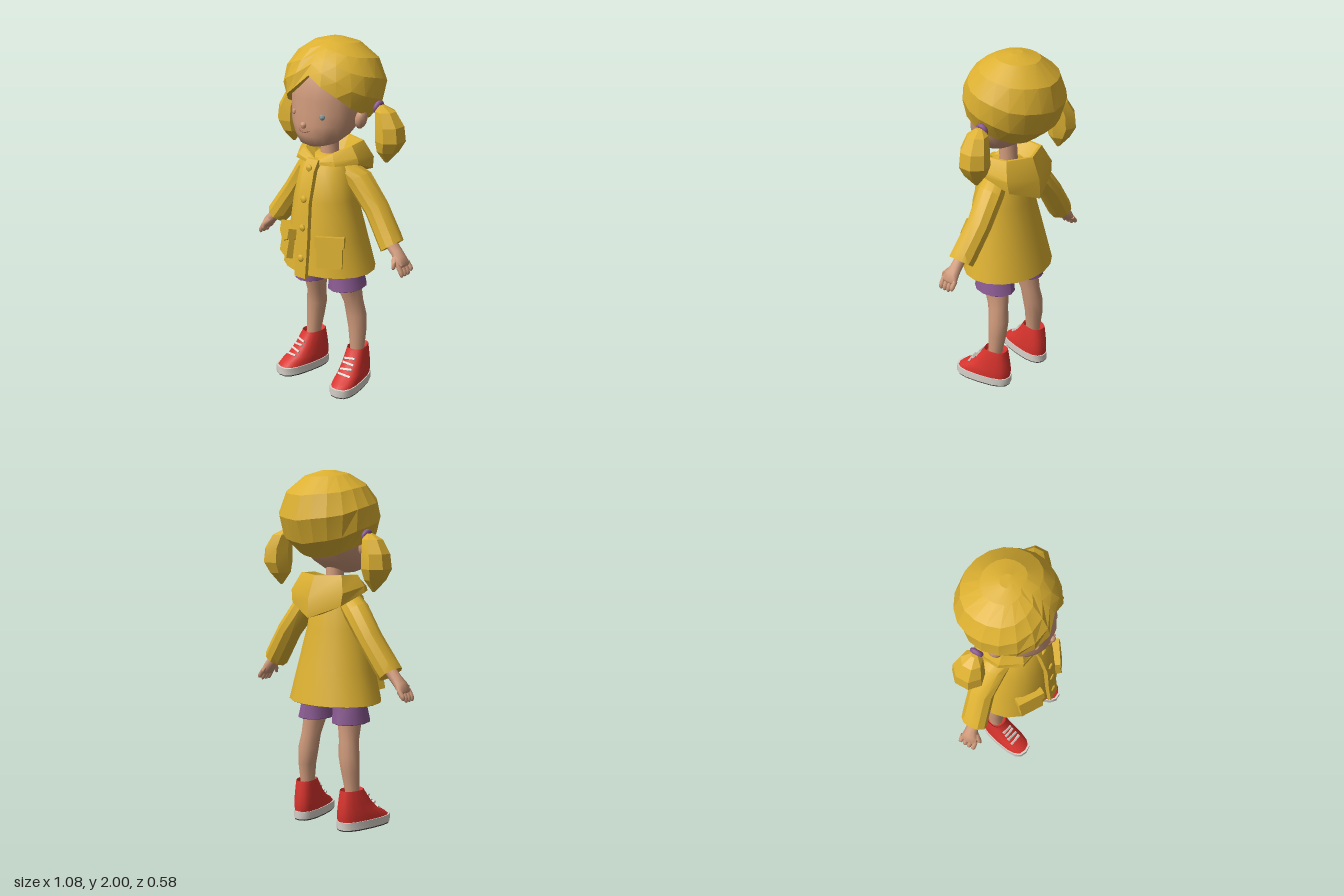
import * as THREE from 'three';
import { toCreasedNormals } from 'three/addons/utils/BufferGeometryUtils.js';

const material = (name, color) => Object.assign(new THREE.MeshStandardMaterial({ color }), { name });

// Piecewise linear lookup in a table of [key, value]
function lookup(table, k) {
  let i = 1;
  while (i < table.length - 1 && k > table[i][0]) i++;
  const [a, b] = [table[i - 1], table[i]];
  return THREE.MathUtils.mapLinear(k, a[0], b[0], a[1], b[1]);
}

// Closed skin over rings of points, capped at both ends and facing outward
function loft(rings) {
  const n = rings[0].length, pts = rings.flat(), index = [];
  const centre = (r) => r.reduce((s, p) => s.map((v, i) => v + p[i] / n), [0, 0, 0]);
  const last = (rings.length - 1) * n, c0 = pts.length, c1 = c0 + 1;
  pts.push(centre(rings[0]), centre(rings[rings.length - 1]));
  for (let j = 0; j < n; j++) {
    const k = (j + 1) % n;
    for (let i = 0; i < last; i += n) index.push(i + j, i + n + j, i + k, i + k, i + n + j, i + n + k);
    index.push(c0, j, k, c1, last + k, last + j);
  }
  const v = pts.map((p) => new THREE.Vector3(...p));
  let volume = 0;
  for (let i = 0; i < index.length; i += 3) {
    volume += v[index[i]].dot(v[index[i + 1]].clone().cross(v[index[i + 2]]));
  }
  if (volume < 0) index.reverse();
  const geo = new THREE.BufferGeometry().setFromPoints(v);
  geo.setIndex(index);
  return geo;
}

// Rounded limb: rows of [x, y, z, radius across, radius in z], cut square to dir
function limb(rows, sides = 10, dir = [0, 1]) {
  const len = Math.hypot(...dir), ux = -dir[1] / len, uy = dir[0] / len;
  return loft(rows.map(([x, y, z, r, rz = r]) => Array.from({ length: sides }, (_, i) => {
    const a = (i / sides) * Math.PI * 2, c = Math.cos(a) * r;
    return [x + ux * c, y + uy * c, z + Math.sin(a) * rz];
  })));
}

// Shoe layers: rows of [y, heel z, toe z, half width], turned outward at the ankle
function shoe(rows) {
  const sq = (v) => Math.sign(v) * Math.abs(v) ** 0.75;
  return loft(rows.map(([y, z0, z1, w]) => Array.from({ length: 16 }, (_, i) => {
    const a = (i / 16) * Math.PI * 2;
    return [sq(Math.cos(a)) * w * (1 + 0.1 * Math.sin(a)), y, (z0 + z1) / 2 + sq(Math.sin(a)) * (z1 - z0) / 2];
  }))).rotateY(0.2).translate(0.17, 0, -0.02);
}

function mirrored(geo) {
  const g = geo.index ? geo.toNonIndexed() : geo.clone();
  const p = g.attributes.position, a = new THREE.Vector3(), b = new THREE.Vector3();
  g.scale(-1, 1, 1);
  for (let i = 0; i < p.count; i += 3) {
    a.fromBufferAttribute(p, i + 1);
    b.fromBufferAttribute(p, i + 2);
    p.setXYZ(i + 1, b.x, b.y, b.z);
    p.setXYZ(i + 2, a.x, a.y, a.z);
  }
  return g;
}

export function createModel() {
  const model = new THREE.Group();
  model.name = 'girlInRaincoat';
  const yellow = material('yellow', 0xdcb031), skin = material('skin', 0xcf9a7b);
  const purple = material('purple', 0x8a5a92), red = material('red', 0xd8332d);
  const white = material('offWhite', 0xd8d2ca), dark = material('darkSole', 0x4b4b4b);
  const grey = material('eyeGrey', 0x8b9a9c), lip = material('lip', 0xb87c64);

  const add = (name, geo, mat, crease = 0.7) => {
    const mesh = new THREE.Mesh(toCreasedNormals(geo, crease), mat);
    mesh.name = name;
    model.add(mesh);
  };
  const pair = (name, geo, mat, crease) => {
    add(name + 'Left', geo, mat, crease);
    add(name + 'Right', mirrored(geo), mat, crease);
  };

  // Head, neck and face
  add('head', limb([
    [0, 1.432, 0.12, 0.05, 0.06], [0, 1.45, 0.11, 0.105, 0.105], [0, 1.5, 0.08, 0.158, 0.15],
    [0, 1.56, 0.05, 0.19, 0.188], [0, 1.62, 0.035, 0.203, 0.192], [0, 1.7, 0.02, 0.21, 0.212],
    [0, 1.78, 0.0, 0.21, 0.215], [0, 1.86, -0.01, 0.18, 0.2], [0, 1.94, -0.02, 0.1, 0.11]], 20), skin, 1.2);
  add('neck', limb([[0, 1.3, 0.025, 0.06], [0, 1.38, 0.025, 0.052], [0, 1.48, 0.03, 0.05]], 12), skin);
  add('nose', new THREE.SphereGeometry(0.018, 10, 8).translate(0, 1.56, 0.238), skin, 2);
  const smile = new THREE.QuadraticBezierCurve3(new THREE.Vector3(-0.038, 1.535, 0.231),
    new THREE.Vector3(0, 1.512, 0.244), new THREE.Vector3(0.038, 1.535, 0.231));
  add('mouth', new THREE.TubeGeometry(smile, 10, 0.005, 6), lip, 2);
  const eye = new THREE.SphereGeometry(0.016, 10, 8).scale(1, 1, 0.5).rotateY(0.45).translate(0.1, 1.612, 0.203);
  add('eyeLeft', eye, grey, 2);
  add('eyeRight', mirrored(eye), skin, 2);
  pair('ear', new THREE.SphereGeometry(0.055, 10, 8).scale(0.55, 1, 0.7).rotateZ(-0.2).translate(0.215, 1.588, 0.02), skin, 1.2);

  // Hair cap with an uneven hairline and a parting at the front
  const hairline = [[-180, 1.52], [-130, 1.54], [-100, 1.59], [-70, 1.62], [-50, 1.66], [-30, 1.72], [-15, 1.76],
    [0, 1.83], [15, 1.79], [35, 1.73], [55, 1.66], [75, 1.62], [100, 1.59], [130, 1.54], [180, 1.52]];
  const hairRing = (t, shrink = 1) => Array.from({ length: 20 }, (_, i) => {
    const deg = i * 18 - 180, a = THREE.MathUtils.degToRad(deg);
    const turn = a + 0.1 * Math.max(0, Math.cos(a));
    const polar = t * Math.acos((lookup(hairline, deg) - 1.75) / 0.25);
    const r = Math.sin(polar) * shrink, y = 1.75 + 0.25 * Math.cos(polar);
    const part = deg === 0 && t > 0.1 ? 0.95 : 1;
    return [0.285 * r * part * Math.sin(turn), y, -0.02 + 0.275 * r * part * Math.cos(turn)];
  });
  add('hair', loft([...[0.06, 0.2, 0.4, 0.6, 0.8, 1].map((t) => hairRing(t)), hairRing(1, 0.8)]), yellow, 0.25);

  // Pigtails and ties
  pair('pigtail', limb([[0.3, 1.665, -0.045, 0.02], [0.325, 1.635, -0.05, 0.055, 0.06], [0.352, 1.56, -0.055, 0.075, 0.085],
    [0.358, 1.48, -0.055, 0.08, 0.09], [0.345, 1.42, -0.05, 0.058, 0.065], [0.335, 1.355, -0.05, 0.008]], 7), yellow, 0.25);
  pair('hairTie', new THREE.TorusGeometry(0.024, 0.014, 8, 14).rotateY(Math.PI / 2).rotateZ(-0.3)
    .translate(0.282, 1.652, -0.045), purple, 2);

  // Raincoat body, hollow at the hem
  add('coat', limb([[0, 0.75, 0.03, 0.25, 0.2], [0, 0.71, 0.03, 0.272, 0.222], [0, 0.715, 0.03, 0.281, 0.231],
    [0, 0.9, 0.04, 0.236, 0.2], [0, 1.13, 0.06, 0.185, 0.165], [0, 1.3, 0.05, 0.155, 0.13],
    [0, 1.35, 0.04, 0.12, 0.1], [0, 1.37, 0.03, 0.06, 0.06]], 18), yellow, 0.6);

  // Button placket and buttons
  const front = [[0.7, 0.282], [0.9, 0.262], [1.13, 0.246], [1.3, 0.203], [1.355, 0.168]];
  const strip = new THREE.Shape([...front.map(([y, z]) => new THREE.Vector2(z, y)),
    ...front.slice().reverse().map(([y, z]) => new THREE.Vector2(z - 0.05, y))]);
  add('placket', new THREE.ExtrudeGeometry(strip, { depth: 0.08, bevelEnabled: false })
    .rotateY(-Math.PI / 2).translate(0.04, 0, 0), yellow, 0.4);
  for (const y of [1.31, 1.145, 0.985, 0.81]) {
    add('button', new THREE.SphereGeometry(0.021, 12, 8).scale(1, 1, 0.5).translate(0, y, lookup(front, y)), yellow, 2);
  }

  // Pockets with pointed flaps
  const place = new THREE.Matrix4().makeRotationFromEuler(new THREE.Euler(-0.17, 0.56, 0, 'YXZ')).setPosition(0.152, 0.85, 0.2);
  const flap = new THREE.Shape([[-0.08, 0.1], [-0.08, 0.04], [0, 0.005], [0.08, 0.04], [0.08, 0.1]]
    .map((p) => new THREE.Vector2(...p)));
  pair('pocket', new THREE.BoxGeometry(0.14, 0.14, 0.05).translate(0, -0.005, 0).applyMatrix4(place), yellow);
  pair('pocketFlap', new THREE.ExtrudeGeometry(flap, { depth: 0.055, bevelEnabled: false })
    .translate(0, 0, -0.015).applyMatrix4(place), yellow);

  // Folded hood: half outlines from front to back, mirrored into rings
  const hood = [
    [[0, 1.335, 0.1], [0.06, 1.36, 0.07], [0.09, 1.365, 0.02], [0.08, 1.35, -0.05], [0, 1.34, -0.08]],
    [[0, 1.35, 0.145], [0.095, 1.395, 0.115], [0.145, 1.43, 0.03], [0.13, 1.435, -0.08], [0, 1.43, -0.135]],
    [[0, 1.345, 0.155], [0.105, 1.395, 0.125], [0.16, 1.43, 0.03], [0.145, 1.435, -0.09], [0, 1.43, -0.15]],
    [[0, 1.335, 0.17], [0.13, 1.36, 0.145], [0.205, 1.37, 0.035], [0.185, 1.34, -0.13], [0, 1.31, -0.2]],
    [[0, 1.325, 0.17], [0.14, 1.335, 0.145], [0.21, 1.335, 0.03], [0.175, 1.27, -0.135], [0, 1.2, -0.205]],
    [[0, 1.32, 0.12], [0.1, 1.32, 0.1], [0.14, 1.32, 0.02], [0.12, 1.27, -0.06], [0, 1.21, -0.08]]];
  add('hood', loft(hood.map((h) => [...h, ...h.slice(1, 4).reverse().map(([x, y, z]) => [-x, y, z])])), yellow, 0.5);

  // Sleeves and hands
  const down = [0.29, -0.38];
  pair('sleeve', limb([[0.09, 1.31, 0.02, 0.05, 0.07], [0.18, 1.24, -0.01, 0.07, 0.08], [0.295, 1.09, -0.025, 0.066, 0.074],
    [0.395, 0.945, -0.01, 0.068, 0.076], [0.42, 0.91, -0.005, 0.066, 0.076], [0.414, 0.918, -0.005, 0.045, 0.05]], 10, down), yellow, 0.6);
  pair('hand', limb([[0.41, 0.93, 0, 0.034], [0.455, 0.885, 0, 0.031, 0.035], [0.482, 0.855, 0.005, 0.03, 0.045],
    [0.507, 0.82, 0.005, 0.023, 0.052], [0.512, 0.812, 0.005, 0.012, 0.04]], 10, down), skin, 0.9);
  for (let i = 0; i < 4; i++) {
    const z = -0.036 + i * 0.027, tip = i === 0 ? 0.014 : 0;
    pair('finger', limb([[0.5, 0.83, z, 0.014], [0.522, 0.795 + tip / 2, z, 0.014], [0.53, 0.777 + tip, z, 0.011],
      [0.532, 0.77 + tip, z, 0.004]], 7, down), skin, 1);
  }
  pair('thumb', limb([[0.465, 0.87, 0.03, 0.017], [0.482, 0.84, 0.058, 0.016], [0.487, 0.815, 0.064, 0.012],
    [0.488, 0.808, 0.064, 0.004]], 7, down), skin, 1);

  // Shorts and legs
  add('shortsTop', limb([[0, 0.69, 0.02, 0.15, 0.09], [0, 0.82, 0.03, 0.17, 0.12]], 14), purple);
  pair('shortsLeg', limb([[0.13, 0.62, 0.02, 0.08, 0.1], [0.126, 0.6, 0.02, 0.092, 0.118], [0.125, 0.605, 0.02, 0.1, 0.126],
    [0.115, 0.7, 0.02, 0.092, 0.108], [0.1, 0.8, 0.02, 0.09, 0.1]], 12), purple, 0.6);
  pair('leg', limb([[0.125, 0.68, 0.01, 0.068, 0.08], [0.13, 0.58, 0, 0.06, 0.075], [0.14, 0.5, -0.018, 0.055, 0.06],
    [0.15, 0.42, -0.03, 0.06, 0.06], [0.16, 0.33, -0.03, 0.052, 0.055], [0.167, 0.22, -0.02, 0.042, 0.044],
    [0.17, 0.12, -0.02, 0.042, 0.044]], 12), skin, 1);

  // Shoes: dark tread, pale sole, red upper and laces
  pair('tread', shoe([[0, -0.095, 0.25, 0.074], [0.008, -0.097, 0.252, 0.076]]), dark);
  pair('sole', shoe([[0.008, -0.099, 0.254, 0.077], [0.052, -0.1, 0.255, 0.077]]), white);
  pair('shoe', shoe([[0.05, -0.094, 0.245, 0.072], [0.075, -0.096, 0.215, 0.071], [0.1, -0.096, 0.165, 0.068],
    [0.15, -0.09, 0.113, 0.062], [0.215, -0.08, 0.068, 0.054], [0.228, -0.078, 0.062, 0.051],
    [0.205, -0.06, 0.05, 0.042]]), red, 0.8);
  const tongue = [[0.1, 0.165], [0.15, 0.113], [0.215, 0.068]];
  [0.105, 0.13, 0.155, 0.18].forEach((y, i) => {
    pair('lace', new THREE.BoxGeometry(0.078 - i * 0.004, 0.012, 0.014).rotateX(-0.7).rotateZ(i % 2 ? 0.12 : -0.12)
      .translate(0, y, lookup(tongue, y)).rotateY(0.2).translate(0.17, 0, -0.02), white);
  });

  return model;
}
